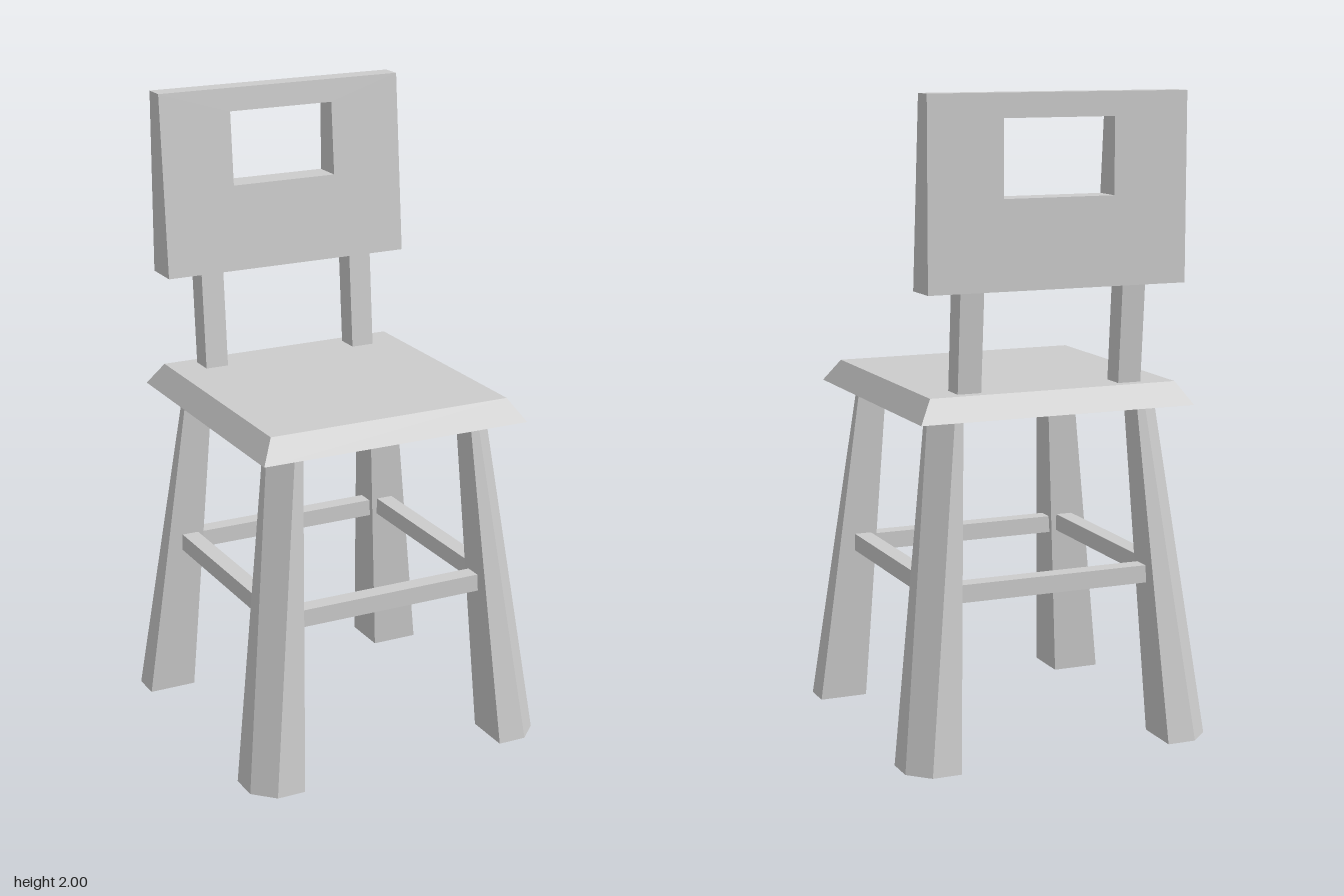
import * as THREE from 'three';

const material = new THREE.MeshStandardMaterial({ color: 0xcccccc, flatShading: true });

// Convex solid between two matching [x, z] outlines at heights y0 and y1
function loft(bottom, top, y0, y1) {
  const n = bottom.length;
  const area = bottom.reduce((sum, [x, z], i) => {
    const [x2, z2] = bottom[(i + 1) % n];
    return sum + x * z2 - x2 * z;
  }, 0);
  // Mirrored outlines are reversed so that the faces keep pointing outwards
  if (area > 0) {
    bottom = [...bottom].reverse();
    top = [...top].reverse();
  }
  const positions = [];
  const low = (i) => [bottom[i % n][0], y0, bottom[i % n][1]];
  const high = (i) => [top[i % n][0], y1, top[i % n][1]];
  const tri = (a, b, c) => positions.push(...a, ...b, ...c);
  for (let i = 0; i < n; i++) {
    tri(low(i), low(i + 1), high(i + 1));
    tri(low(i), high(i + 1), high(i));
    if (i > 0 && i < n - 1) {
      tri(high(0), high(i), high(i + 1));
      tri(low(0), low(i + 1), low(i));
    }
  }
  const geometry = new THREE.BufferGeometry();
  geometry.setAttribute('position', new THREE.Float32BufferAttribute(positions, 3));
  geometry.computeVertexNormals();
  return geometry;
}

const rect = (x0, x1, z0, z1) => [[x0, z0], [x1, z0], [x1, z1], [x0, z1]];

// Square leg outline with its outer corner cut off
const legOutline = (inner, outer, cut, sx, sz) => [
  [inner, inner], [outer, inner], [outer, outer - cut], [outer - cut, outer], [inner, outer],
].map(([x, z]) => [x * sx, z * sz]);

// Backrest panel with a grip hole, tapering towards the top
function backrestGeometry() {
  const y0 = 1.425, y1 = 2;
  const outline = (w, a, b) => [[-w, a], [w, a], [w, b], [-w, b]].map(([x, y]) => new THREE.Vector2(x, y));
  const shape = new THREE.Shape(outline(0.415, y0, y1));
  shape.holes.push(new THREE.Path(outline(0.177, 1.695, 1.927)));
  const geometry = new THREE.ExtrudeGeometry(shape, { depth: 1, bevelEnabled: false });
  const p = geometry.attributes.position;
  for (let i = 0; i < p.count; i++) {
    const front = THREE.MathUtils.mapLinear(p.getY(i), y0, y1, -0.308, -0.358);
    p.setZ(i, p.getZ(i) > 0.5 ? front : -0.427);
  }
  geometry.computeVertexNormals();
  return geometry;
}

export function createModel() {
  const chair = new THREE.Group();
  chair.name = 'chair';
  const add = (name, geometry) => {
    const mesh = new THREE.Mesh(geometry, material);
    mesh.name = name;
    chair.add(mesh);
    return mesh;
  };

  // Seat with sloping edges
  add('seat', loft(rect(-0.445, 0.445, -0.445, 0.445), rect(-0.4, 0.4, -0.4, 0.395), 1.05, 1.12));

  for (const sx of [-1, 1]) {
    const side = sx > 0 ? 'Left' : 'Right';

    // Splayed legs
    for (const sz of [-1, 1]) {
      add((sz > 0 ? 'front' : 'back') + side + 'Leg',
        loft(legOutline(0.345, 0.5, 0.063, sx, sz), legOutline(0.285, 0.375, 0.063, sx, sz), 0, 1.05));
    }

    // Leaning backrest posts
    add('post' + side, loft(
      rect(sx * 0.225, sx * 0.3, -0.367, -0.292),
      rect(sx * 0.225, sx * 0.3, -0.392, -0.317), 1.12, 1.43));

    // Side rungs, slightly higher than the front and back ones
    add('rung' + side, new THREE.BoxGeometry(0.055, 0.055, 0.64)).position.set(sx * 0.36, 0.53, 0);
    add(sx > 0 ? 'rungFront' : 'rungBack', new THREE.BoxGeometry(0.64, 0.055, 0.055))
      .position.set(0, 0.52, sx * 0.362);
  }

  add('backrest', backrestGeometry());
  return chair;
}
